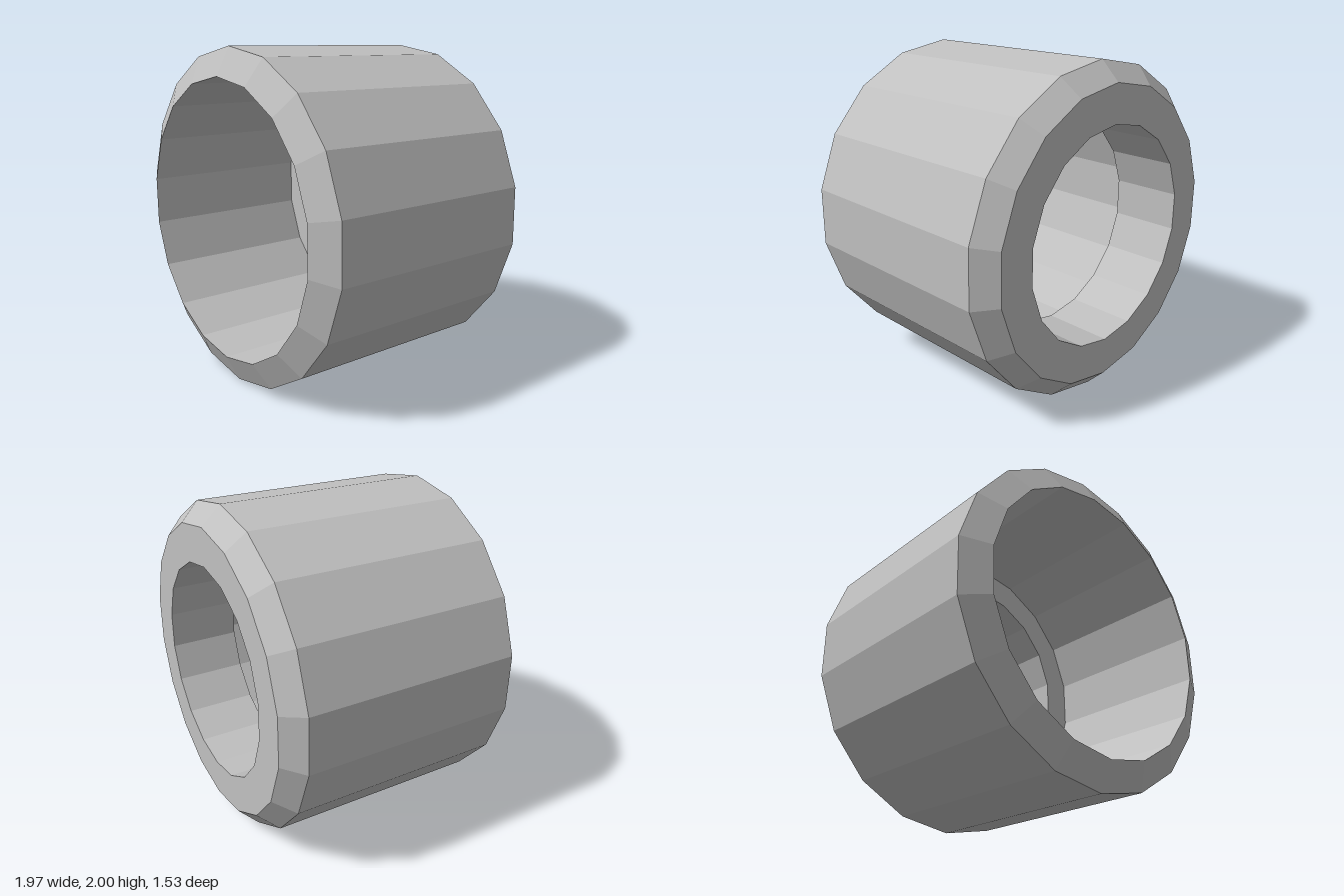
import * as THREE from 'three';

const SIDES = 18;

export function createModel() {
  const group = new THREE.Group();
  group.name = 'steppedBushing';

  const grey = new THREE.MeshStandardMaterial({ color: 0xc0c0c0, flatShading: true });
  grey.name = 'plain grey';

  // Closed section as [radius, z]: outer wall, front chamfer, wide bore, ledge, narrow bore, back face
  const section = [
    [0.885, -0.765], [1, -0.65], [1, 0.68], [0.833, 0.765],
    [0.833, -0.33], [0.656, -0.33], [0.656, -0.765], [0.885, -0.765],
  ].map(([r, z]) => new THREE.Vector2(r, z));

  // Turn the section around the z axis, with a very slight roll
  const geometry = new THREE.LatheGeometry(section, SIDES)
    .rotateX(Math.PI / 2)
    .rotateZ(0.012)
    .toNonIndexed();
  geometry.computeVertexNormals();

  const sleeve = new THREE.Mesh(geometry, grey);
  sleeve.name = 'sleeve';
  sleeve.position.y = 1;
  group.add(sleeve);

  return group;
}
